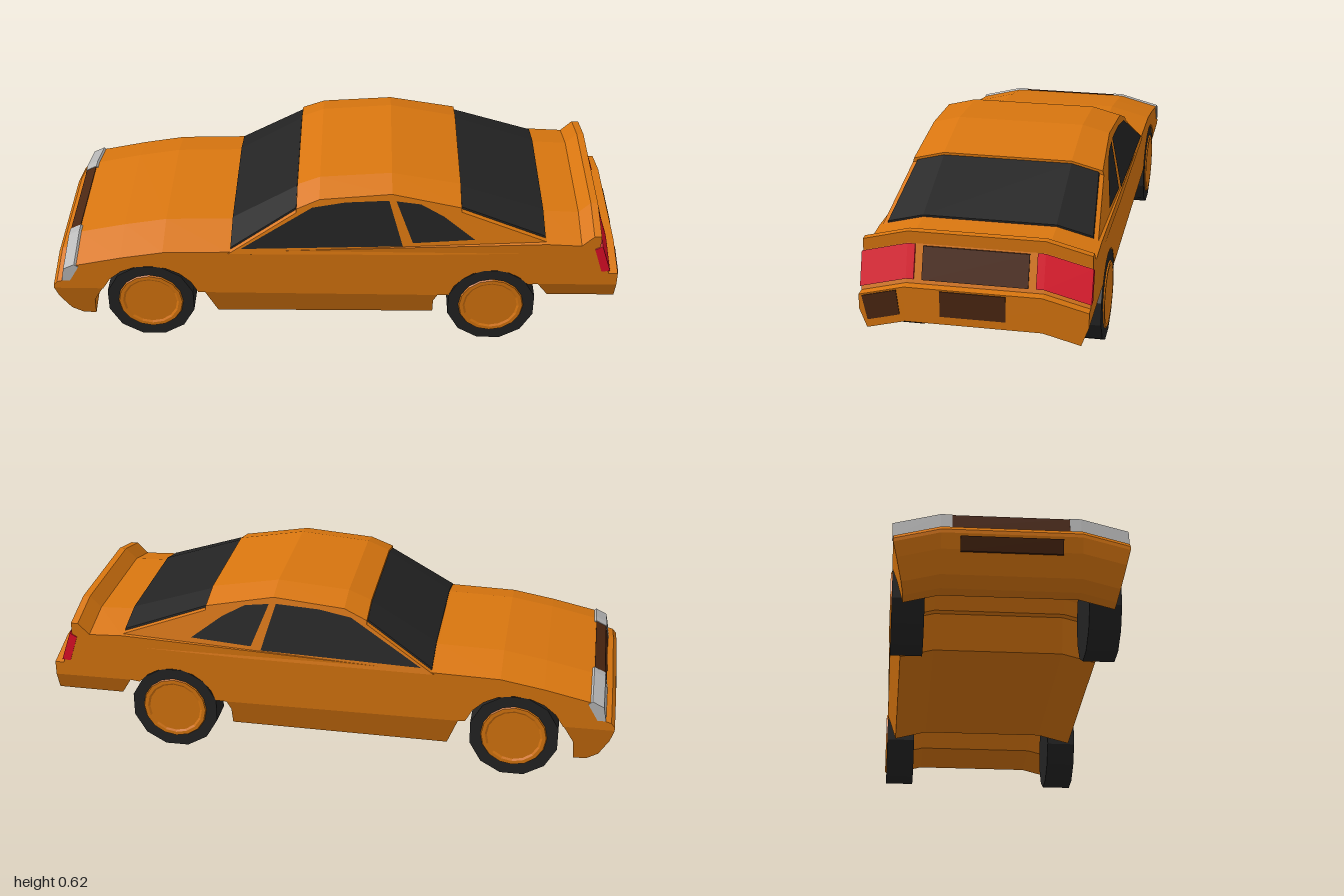
import * as THREE from 'three';

const colour = (name, hex, side = THREE.FrontSide) => {
  const m = new THREE.MeshStandardMaterial({ color: hex, side });
  m.name = name;
  return m;
};

// Half width of the cabin walls, leaning in towards the roof
const cabinZ = y => (0.362 - 0.25 * (y - 0.353)) / 0.935;
// Every part falls away towards the flanks outside the flat centre strip
const FLAT = 0.22, FALL = 0.26, WIDE = 0.367;
const drop = z => FALL * Math.max(0, Math.abs(z) - FLAT);
const across = hw => (x, y) => [-hw(x, y), -FLAT, FLAT, hw(x, y)];
const tuck = (top, bottom, inset) => (x, y) =>
  WIDE - inset * Math.min(1, Math.max(0, (top - y) / (top - bottom)));

// Side outline carried through a list of z stations
function slab(outline, stations) {
  const n = stations(0, 0.3).length - 1;
  const shape = new THREE.Shape(outline.map(p => new THREE.Vector2(...p)));
  const geo = new THREE.ExtrudeGeometry(shape, { depth: n, steps: n, bevelEnabled: false });
  const pos = geo.attributes.position;
  for (let i = 0; i < pos.count; i++) {
    const x = pos.getX(i), y = pos.getY(i);
    const z = stations(x, y)[Math.round(pos.getZ(i))];
    pos.setXYZ(i, x, y - drop(z), z);
  }
  geo.computeVertexNormals();
  return geo;
}

// Thin glass pane lying on a cabin wall
function sidePane(outline, s) {
  const geo = new THREE.ShapeGeometry(new THREE.Shape(outline.map(p => new THREE.Vector2(...p))));
  const pos = geo.attributes.position;
  for (let i = 0; i < pos.count; i++) {
    pos.setZ(i, s * (0.366 - 0.25 * (pos.getY(i) - 0.41)));
  }
  if (s < 0) geo.index.array.reverse();
  geo.computeVertexNormals();
  return geo;
}

// Wheel arch points, running from +x to -x
function arch(cx, rx, from, to) {
  const pts = [];
  for (let i = 0; i <= 8; i++) {
    const a = THREE.MathUtils.degToRad(from + (to - from) * i / 8);
    pts.push([cx + rx * Math.cos(a), 0.196 + 0.157 * Math.sin(a)]);
  }
  return pts;
}

export function createModel() {
  const car = new THREE.Group();
  car.name = 'car';
  const paint = colour('orangePaint', 0xd9760f);
  const rimPaint = colour('orangeRim', 0xd9760f, THREE.DoubleSide);
  const black = colour('blackGlassAndRubber', 0x232323, THREE.DoubleSide);
  const red = colour('redLamp', 0xe20f28);
  const grey = colour('greyLamp', 0xb8b8b8);
  const brown = colour('brownGrille', 0x4a2611);

  const add = (name, geo, mat, parent = car) => {
    if (mat !== rimPaint && mat !== black) mat.flatShading = true;
    const mesh = new THREE.Mesh(geo, mat);
    mesh.name = name;
    parent.add(mesh);
    return mesh;
  };

  // Main body with nose, deck, spoiler lip and arches
  add('body', slab([
    [-0.998, 0.25], [-0.998, 0.262], [-0.985, 0.278], [-0.96, 0.285], [-0.95, 0.335], [-0.915, 0.352],
    [-0.75, 0.388], [-0.6, 0.414], [-0.37, 0.42], [0.74, 0.47], [0.86, 0.465],
    [0.9, 0.505], [0.925, 0.505], [0.925, 0.465], [0.965, 0.345], [0.997, 0.345],
    [0.997, 0.295], [0.72, 0.295],
    ...arch(0.56, 0.158, 37, 164), [0.36, 0.238], [-0.45, 0.238],
    ...arch(-0.655, 0.178, 16, 160),
  ], across(() => WIDE)), paint);

  // Lower skirts tuck inwards
  add('rockerAndFloor', slab([
    [-0.46, 0.24], [0.37, 0.24], [0.355, 0.2], [0.355, 0.13], [-0.42, 0.12], [-0.44, 0.18],
  ], across(tuck(0.24, 0.12, 0.035))), paint);
  add('frontBumper', slab([
    [-0.998, 0.25], [-0.985, 0.2], [-0.95, 0.13], [-0.91, 0.102], [-0.865, 0.1], [-0.86, 0.18], [-0.825, 0.25],
  ], across(tuck(0.25, 0.1, 0.035))), paint);
  add('rearBumper', slab([
    [0.72, 0.295], [0.997, 0.295], [0.997, 0.225], [0.76, 0.222],
  ], across(tuck(0.295, 0.222, 0.025))), paint);

  // Cabin and its glass
  add('cabin', slab([
    [-0.37, 0.415], [-0.13, 0.56], [-0.13, 0.572], [-0.05, 0.605], [0.2, 0.625],
    [0.44, 0.582], [0.44, 0.568], [0.74, 0.47], [0.74, 0.43], [0.3, 0.42],
  ], across((x, y) => cabinZ(y))), paint);
  const glassWidth = across((x, y) => cabinZ(y) - 0.015);
  add('windscreen', slab([
    [-0.362, 0.426], [-0.131, 0.566], [-0.131, 0.558], [-0.362, 0.418],
  ], glassWidth), black);
  add('rearWindow', slab([
    [0.441, 0.574], [0.735, 0.478], [0.735, 0.47], [0.441, 0.566],
  ], glassWidth), black);

  for (const s of [1, -1]) {
    const side = s > 0 ? 'left' : 'right';
    add(side + 'DoorWindow', sidePane(
      [[-0.325, 0.398], [0.24, 0.415], [0.19, 0.58], [0.04, 0.572], [-0.075, 0.552]], s), black);
    add(side + 'QuarterWindow', sidePane(
      [[0.275, 0.427], [0.49, 0.442], [0.38, 0.525], [0.3, 0.568], [0.215, 0.578]], s), black);

    // Lamps wrap round the corners
    const corner = z0 => () => (s > 0 ? [z0, FLAT, 0.37] : [-0.37, -FLAT, -z0]);
    add(side + 'Headlight', slab([
      [-0.966, 0.287], [-0.956, 0.339], [-0.916, 0.359], [-0.902, 0.347], [-0.937, 0.287],
    ], corner(0.185)), grey);
    add(side + 'TailLight', slab([
      [0.932, 0.467], [0.968, 0.36], [0.938, 0.357], [0.907, 0.452],
    ], corner(0.195)), red);
  }

  // Dark inserts at the nose and tail
  const strip = w => () => [-w, w];
  add('grille', slab([
    [-0.964, 0.29], [-0.954, 0.338], [-0.917, 0.356], [-0.917, 0.348], [-0.945, 0.33], [-0.954, 0.29],
  ], strip(0.185)), brown);
  add('frontIntake', slab([
    [-1, 0.24], [-0.988, 0.193], [-0.98, 0.193], [-0.99, 0.24],
  ], strip(0.16)), brown);
  add('tailPanel', slab([
    [0.931, 0.46], [0.965, 0.358], [0.957, 0.358], [0.923, 0.46],
  ], strip(0.17)), brown);
  const bumperInsert = [[0.994, 0.34], [1, 0.34], [1, 0.253], [0.994, 0.253]];
  add('plateRecess', slab(bumperInsert, strip(0.105)), brown);
  add('leftBumperInsert', slab(bumperInsert, (x, y) => (y < 0.3 ? [0.235, 0.34] : [0.245, 0.357])), brown);

  // Wheels: twelve-sided tyres with dished rims
  const tyreGeo = new THREE.CylinderGeometry(0.158, 0.158, 0.104, 12, 1).toNonIndexed();
  tyreGeo.rotateY(Math.PI / 12);
  tyreGeo.computeVertexNormals();
  const rimProfile = [[0, 0.053], [0.093, 0.053], [0.1, 0.057], [0.113, 0.057], [0.117, 0.05]];
  const rimGeo = new THREE.LatheGeometry(rimProfile.map(p => new THREE.Vector2(...p)), 16).toNonIndexed();
  rimGeo.computeVertexNormals();
  for (const x of [-0.655, 0.56]) {
    for (const s of [1, -1]) {
      const wheel = new THREE.Group();
      wheel.name = (s > 0 ? 'left' : 'right') + (x < 0 ? 'FrontWheel' : 'RearWheel');
      add('tyre', tyreGeo, black, wheel);
      add('rim', rimGeo, rimPaint, wheel);
      wheel.position.set(x, 0.158, s * 0.314);
      wheel.rotation.x = s * Math.PI / 2;
      car.add(wheel);
    }
  }
  return car;
}
